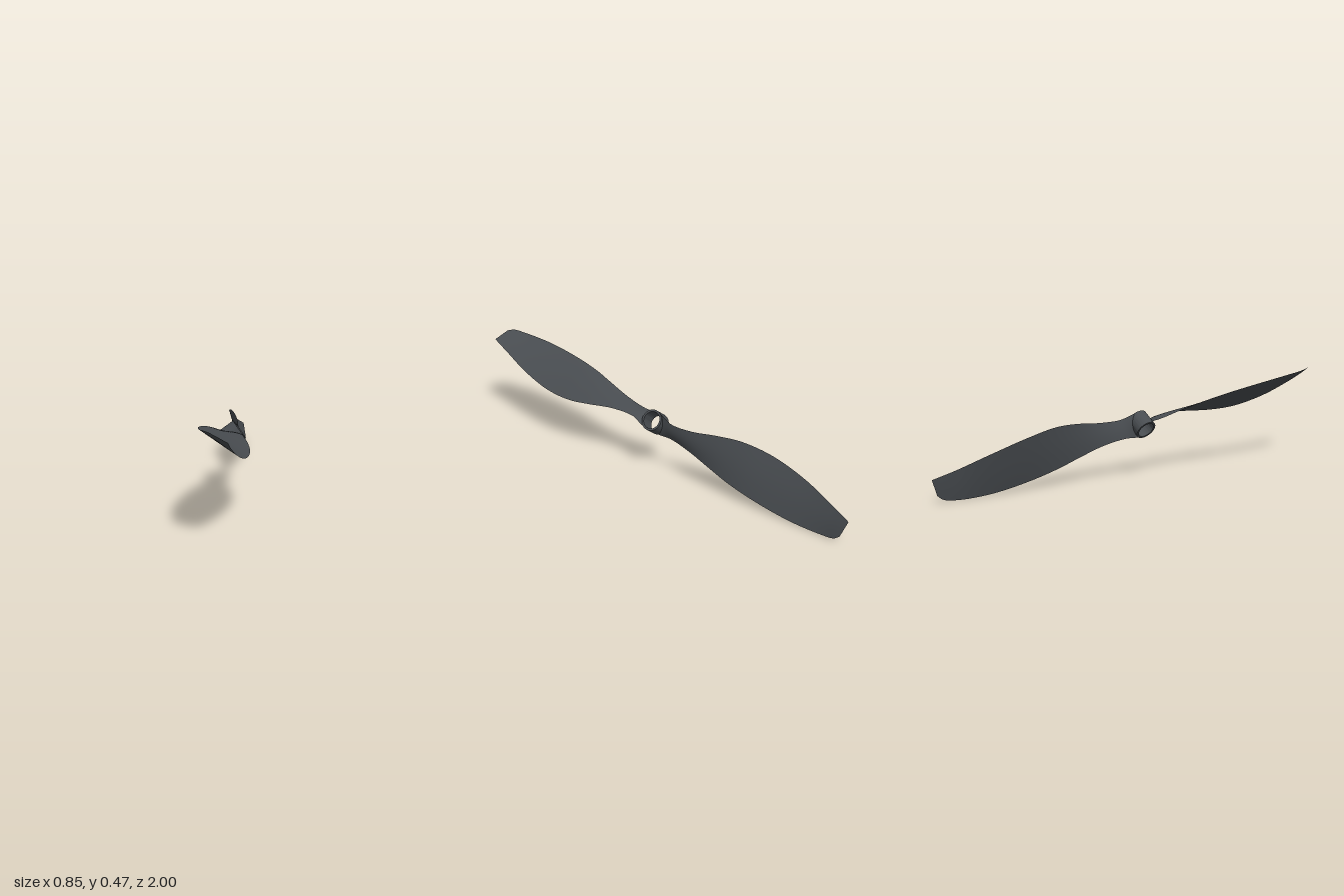
import * as THREE from 'three';
import { toCreasedNormals } from 'three/addons/utils/BufferGeometryUtils.js';

const HUB_OUTER = 0.052, HUB_INNER = 0.042, HUB_LENGTH = 0.084;

// Edge control points in propeller space: x along the span, y across, z along the hub axis
const curve = (pts) => new THREE.CatmullRomCurve3(pts.map((p) => new THREE.Vector3(...p)));
const leadingEdge = curve([
  [0, 0.048, 0.04], [0.1, 0.028, 0.042], [0.22, 0.045, 0.049], [0.35, 0.086, 0.052],
  [0.47, 0.118, 0.045], [0.63, 0.13, 0.026], [0.82, 0.108, 0.016], [0.98, 0.068, 0.02],
  [1.05, 0.05, 0.026], [1.084, 0.04, 0.03],
]);
const trailingEdge = curve([
  [0, -0.048, -0.038], [0.1, -0.035, -0.028], [0.22, -0.042, -0.022], [0.35, -0.062, -0.028],
  [0.47, -0.08, -0.038], [0.63, -0.09, -0.047], [0.82, -0.087, -0.049], [0.98, -0.068, -0.037],
  [1.045, -0.054, -0.021], [1.07, -0.033, -0.006],
]);

// One skin of the blade: a grid between the two edges, swollen to one side
function bladeSkin(side) {
  const rows = 54, cols = 14, pos = [], index = [];
  for (let i = 0; i <= rows; i++) {
    const v = i / rows;
    const a = trailingEdge.getPoint(v), b = leadingEdge.getPoint(v);
    const chord = b.clone().sub(a);
    const normal = new THREE.Vector3(0, -chord.z, chord.y).normalize();
    const thick = (0.012 - 0.008 * v) * Math.sqrt(1 - v ** 8) * (side > 0 ? 0.7 : 0.3);
    for (let j = 0; j <= cols; j++) {
      const u = j / cols;
      const p = a.clone().lerp(b, u);
      // the root follows the round wall of the hub
      const wall = Math.sqrt(Math.max(0, 0.048 ** 2 - p.y ** 2));
      p.x += wall * Math.max(0, 1 - p.x / 0.1);
      p.addScaledVector(normal, side * thick * Math.sin(Math.PI * u));
      pos.push(p.x, p.y, p.z);
      if (i < rows && j < cols) {
        const k = i * (cols + 1) + j, n = k + cols + 1;
        if (side > 0) index.push(k, n, k + 1, n, n + 1, k + 1);
        else index.push(k, k + 1, n, n, k + 1, n + 1);
      }
    }
  }
  const geo = new THREE.BufferGeometry();
  geo.setAttribute('position', new THREE.Float32BufferAttribute(pos, 3));
  geo.setIndex(index);
  geo.computeVertexNormals();
  return geo;
}

export function createModel() {
  const model = new THREE.Group();
  model.name = 'propeller';
  const plastic = new THREE.MeshStandardMaterial({ color: 0x484c50 });
  plastic.name = 'dark grey plastic';

  // Propeller frame, tilted in space
  const rotor = new THREE.Group();
  rotor.name = 'rotor';
  const axis = new THREE.Vector3(0.783, 0.587, 0.208).normalize();
  const span = new THREE.Vector3(-0.376, 0.179, 0.909);
  span.addScaledVector(axis, -span.dot(axis)).normalize();
  const across = axis.clone().cross(span);
  rotor.quaternion.setFromRotationMatrix(new THREE.Matrix4().makeBasis(span, across, axis));
  rotor.position.set(0.006, 0.252, 0);
  model.add(rotor);

  // Hollow hub
  const ring = new THREE.Shape().absarc(0, 0, HUB_OUTER, 0, Math.PI * 2, false);
  ring.holes.push(new THREE.Path().absarc(0, 0, HUB_INNER, 0, Math.PI * 2, true));
  const hubGeo = new THREE.ExtrudeGeometry(ring, { depth: HUB_LENGTH, bevelEnabled: false, curveSegments: 48 });
  hubGeo.translate(0, 0, -HUB_LENGTH / 2);
  const hub = new THREE.Mesh(toCreasedNormals(hubGeo, 0.6), plastic);
  hub.name = 'hub';
  rotor.add(hub);

  // Two twisted blades, half a turn apart
  const skins = [['upperSkin', bladeSkin(1)], ['lowerSkin', bladeSkin(-1)]];
  ['frontBlade', 'backBlade'].forEach((name, i) => {
    const blade = new THREE.Group();
    blade.name = name;
    blade.rotation.z = i * Math.PI;
    for (const [skinName, geo] of skins) {
      const mesh = new THREE.Mesh(geo, plastic);
      mesh.name = skinName;
      blade.add(mesh);
    }
    rotor.add(blade);
  });

  return model;
}
